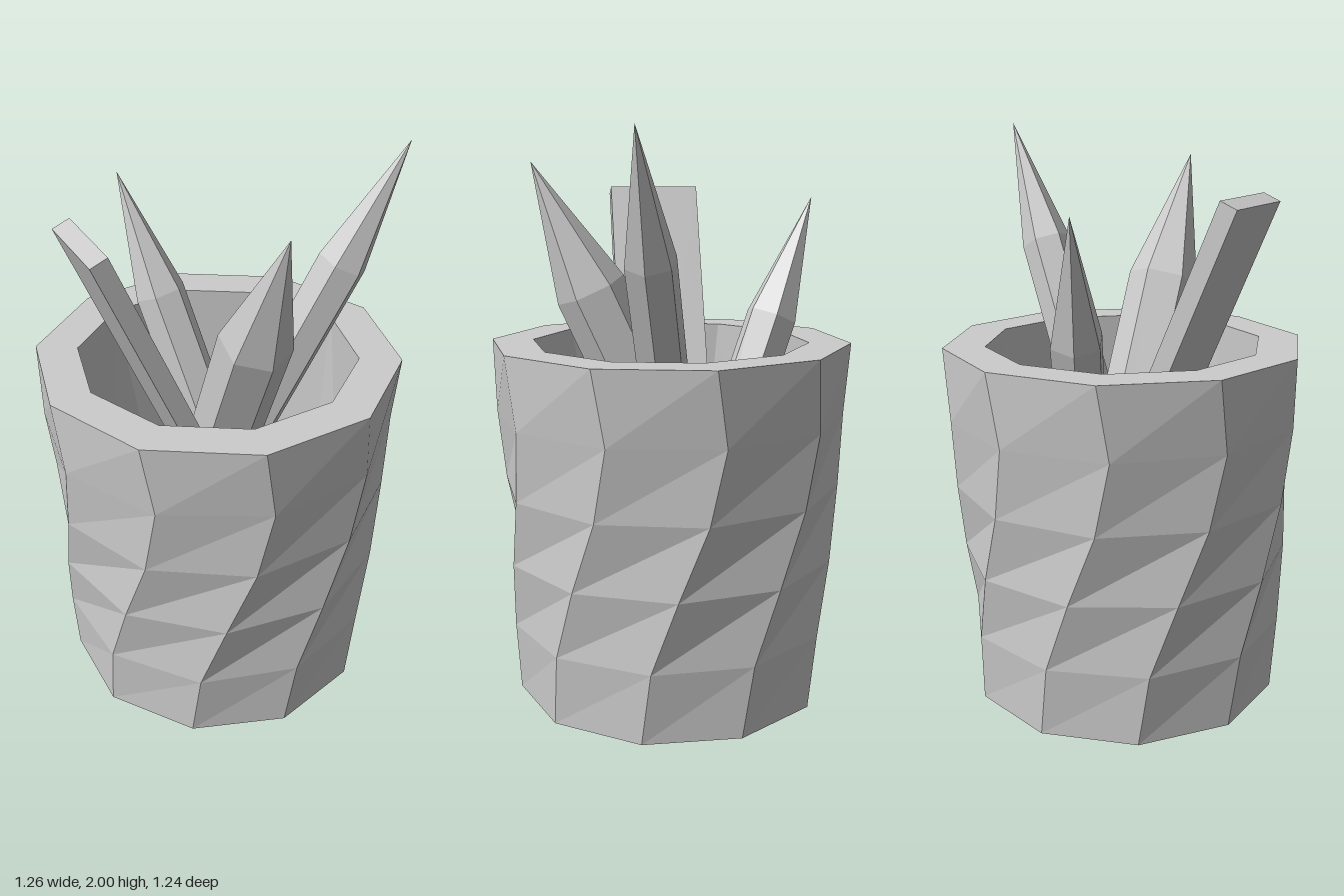
import * as THREE from 'three';

const material = new THREE.MeshStandardMaterial({ color: 0xcccccc, flatShading: true });

function addMesh(group, geometry, name) {
  const mesh = new THREE.Mesh(geometry, material);
  mesh.name = name;
  group.add(mesh);
  return mesh;
}

// Joins consecutive rings [radius, height, twist in degrees] into a faceted skin.
function twistedRings(rings, sides) {
  const point = ([r, y, twist], i) => {
    const a = THREE.MathUtils.degToRad(twist) + (i / sides) * Math.PI * 2;
    return [r * Math.sin(a), y, r * Math.cos(a)];
  };
  const positions = [];
  for (let k = 0; k < rings.length - 1; k++) {
    const lo = rings[k], hi = rings[k + 1];
    for (let i = 0; i < sides; i++) {
      const a = point(lo, i), b = point(lo, i + 1), c = point(hi, i + 1), d = point(hi, i);
      if (lo[0] > 0) positions.push(...a, ...b, ...(hi[0] > 0 ? c : d));
      if (hi[0] > 0) positions.push(...a, ...c, ...d);
    }
  }
  const geometry = new THREE.BufferGeometry();
  geometry.setAttribute('position', new THREE.Float32BufferAttribute(positions, 3));
  geometry.computeVertexNormals();
  return geometry;
}

// Six-sided pencil whose point ends at tip; shoulder is the centre of the cone base.
function addPencil(group, name, tip, shoulder, radius, bottomY) {
  const end = new THREE.Vector3(...tip);
  const neck = new THREE.Vector3(...shoulder);
  const cone = end.distanceTo(neck);
  const dir = end.clone().sub(neck).normalize();
  const shaft = (neck.y - bottomY) / dir.y;
  const profile = [[0, 0], [radius, 0], [radius, shaft], [0, shaft + cone]]
    .map(([x, y]) => new THREE.Vector2(x, y));
  const geometry = new THREE.LatheGeometry(profile, 6).toNonIndexed();
  geometry.computeVertexNormals();
  geometry.rotateY(Math.atan2(dir.x, dir.z)); // one ridge faces the lean
  const pencil = addMesh(group, geometry, name);
  pencil.quaternion.setFromUnitVectors(new THREE.Vector3(0, 1, 0), dir);
  pencil.position.copy(neck).addScaledVector(dir, -shaft);
}

export function createModel() {
  const group = new THREE.Group();
  group.name = 'pencilCup';

  // Cup: underside, twisted outer wall, rim, inner wall, floor
  addMesh(group, twistedRings([
    [0, 0, 0],
    [0.55, 0, 0],
    [0.567, 0.254, 3.5],
    [0.584, 0.508, 12.5],
    [0.601, 0.762, 22],
    [0.618, 1.016, 26.8],
    [0.635, 1.27, 23.2],
    [0.488, 1.27, 23.2],
    [0.488, 0.12, 0],
    [0, 0.12, 0],
  ], 10), 'cup');

  // Pencils
  addPencil(group, 'frontPencil', [0, 1.89, 0.475], [0, 1.455, 0.277], 0.125, 0.25);
  addPencil(group, 'leftPencil', [0.6, 2, 0.19], [0.41, 1.58, 0.12], 0.088, 0.17);
  addPencil(group, 'backPencil', [-0.13, 1.765, -0.535], [-0.045, 1.345, -0.375], 0.093, 0.17);

  // Ruler leaning to the right side
  const length = 1.75, lean = 0.406;
  const ruler = addMesh(group, new THREE.BoxGeometry(0.066, length, 0.325), 'ruler');
  ruler.rotation.z = lean;
  ruler.position.set(
    -0.475 + Math.sin(lean) * length / 2,
    1.783 - Math.cos(lean) * length / 2,
    -0.002,
  );

  return group;
}
